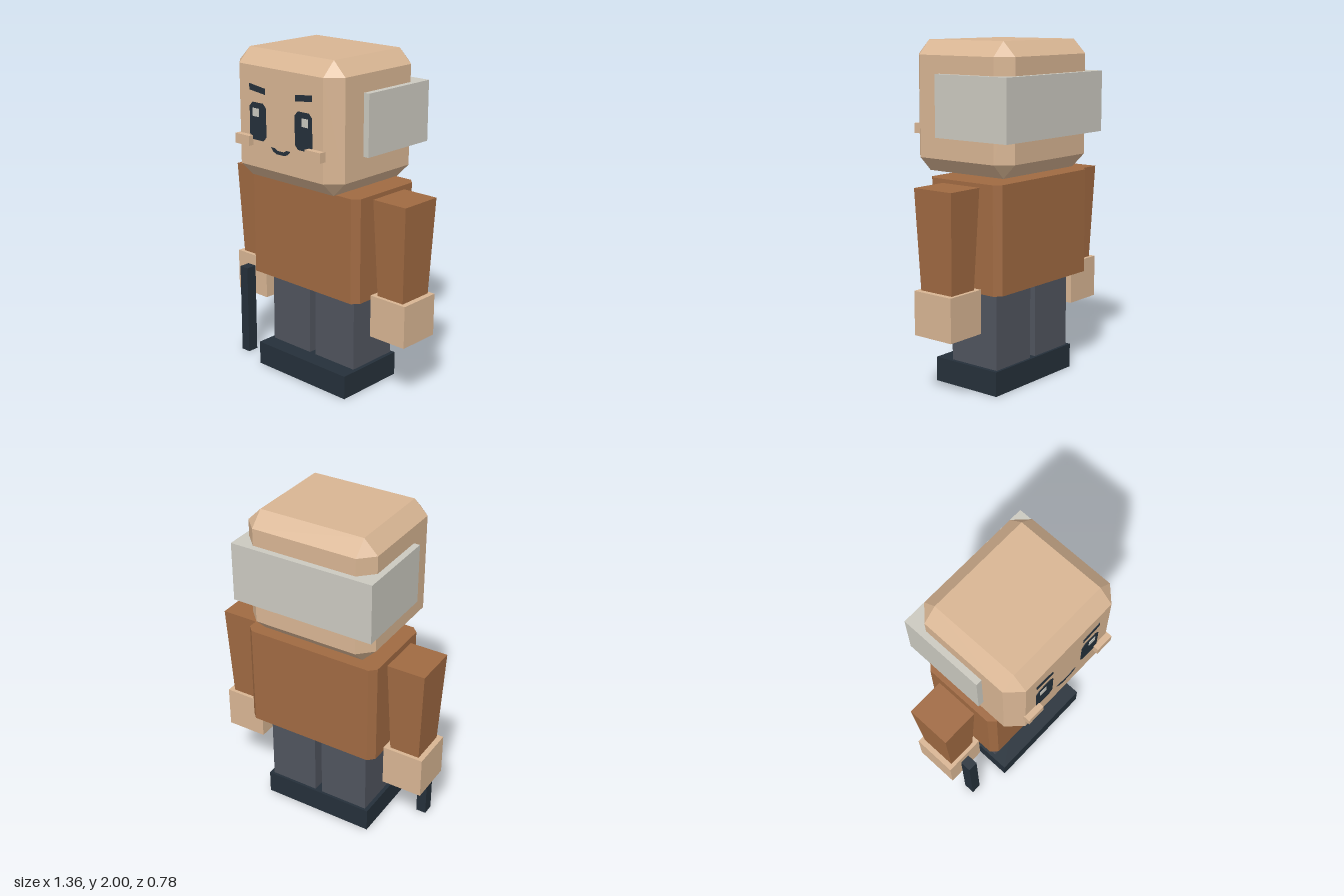
import * as THREE from 'three';
import { ConvexGeometry } from 'three/addons/geometries/ConvexGeometry.js';

const makeMaterial = (name, color) => {
  const m = new THREE.MeshStandardMaterial({ color });
  m.name = name;
  return m;
};

export function createModel() {
  const model = new THREE.Group();
  model.name = 'blockFigure';

  const skin = makeMaterial('skin', 0xd8b593);
  const brown = makeMaterial('brown cloth', 0xa06a42);
  const slate = makeMaterial('slate trousers', 0x50545e);
  const dark = makeMaterial('dark navy', 0x25303a);
  const grey = makeMaterial('grey hair', 0xcbc9c0);

  const add = (name, geometry, material) => {
    const mesh = new THREE.Mesh(geometry, material);
    mesh.name = name;
    model.add(mesh);
    return mesh;
  };

  // Box given by its limits on each axis
  const box = (name, material, [x0, x1], [y0, y1], [z0, z1]) => {
    const g = new THREE.BoxGeometry(x1 - x0, y1 - y0, z1 - z0);
    g.translate((x0 + x1) / 2, (y0 + y1) / 2, (z0 + z1) / 2);
    return add(name, g, material);
  };

  // Box with every edge cut off at 45 degrees
  const chamferedBox = (w, h, d, c) => {
    const points = [];
    for (const x of [-1, 1]) for (const y of [-1, 1]) for (const z of [-1, 1]) {
      for (const [a, b, e] of [[0, c, c], [c, 0, c], [c, c, 0]]) {
        points.push(new THREE.Vector3(x * (w / 2 - a), y * (h / 2 - b), z * (d / 2 - e)));
      }
    }
    return new ConvexGeometry(points);
  };

  // Thin plate on the face, outlined by points on the +x side
  const FACE_Z = 0.355;
  const plate = (name, material, points, side = 1, z = FACE_Z) => {
    const shape = new THREE.Shape(points.map(([x, y]) => new THREE.Vector2(x * side, y)));
    const g = new THREE.ExtrudeGeometry(shape, { depth: 0.004, bevelEnabled: false });
    g.translate(0, 0, z - 0.001);
    return add(name, g, material);
  };

  // Head and the hair band around its back
  add('head', chamferedBox(0.81, 0.748, 0.71, 0.083).translate(0, 1.626, 0), skin);
  box('hair', grey, [-0.442, 0.442], [1.46, 1.815], [-0.392, 0.123]);

  // Torso: an upright prism with cut corners
  const tx = 0.425, zf = 0.2, zb = -0.32, c = 0.038;
  const torso = new THREE.Shape([
    [tx, -zf + c], [tx, -zb - c], [tx - c, -zb], [-tx + c, -zb],
    [-tx, -zb - c], [-tx, -zf + c], [-tx + c, -zf], [tx - c, -zf],
  ].map(([x, y]) => new THREE.Vector2(x, y)));
  const torsoGeometry = new THREE.ExtrudeGeometry(torso, { depth: 0.622, bevelEnabled: false });
  torsoGeometry.rotateX(-Math.PI / 2).translate(0, 0.608, 0);
  add('torso', torsoGeometry, brown);

  for (const s of [1, -1]) {
    const prefix = s > 0 ? 'left' : 'right';
    const span = (a, b) => (s > 0 ? [a, b] : [-b, -a]);

    // Sleeve narrowing towards the hand
    const corners = [];
    for (const [y, x0, x1, z0, z1] of [
      [1.21, 0.438, 0.669, -0.198, 0.073],
      [0.62, 0.462, 0.645, -0.175, 0.05],
    ]) {
      for (const x of [x0, x1]) for (const z of [z0, z1]) corners.push(new THREE.Vector3(s * x, y, z));
    }
    add(prefix + 'Sleeve', new ConvexGeometry(corners), brown);

    box(prefix + 'Hand', skin, span(0.428, 0.678), [0.38, 0.635], [-0.197, 0.073]);
    box(prefix + 'Leg', slate, span(0.023, 0.33), [0.14, 0.62], [-0.23, 0.105]);
    box(prefix + 'Cheek', skin, span(0.219, 0.331), [1.46, 1.518], [0.33, 0.39]);

    // Eye with cut corners, highlight and slanted brow
    const e0 = 0.113, e1 = 0.242, b = 1.495, t = 1.71, k = 0.024;
    plate(prefix + 'Eye', dark, [
      [e0 + k, b], [e1 - k, b], [e1, b + k], [e1, t - k],
      [e1 - k, t], [e0 + k, t], [e0, t - k], [e0, b + k],
    ], s);
    plate(prefix + 'EyeHighlight', grey,
      [[0.168, 1.63], [0.215, 1.63], [0.215, 1.677], [0.168, 1.677]], s, FACE_Z + 0.003);
    plate(prefix + 'Brow', dark,
      [[0.117, 1.763], [0.241, 1.777], [0.243, 1.813], [0.119, 1.797]], s);
  }

  // Smile
  plate('mouth', dark, [
    [-0.075, 1.472], [-0.055, 1.45], [-0.03, 1.44], [0.03, 1.44], [0.055, 1.45], [0.075, 1.472],
    [0.045, 1.472], [0.025, 1.46], [-0.025, 1.46], [-0.045, 1.472],
  ]);

  // Shoes as one block, and the walking stick before the right hand
  box('shoes', dark, [-0.354, 0.354], [0, 0.145], [-0.246, 0.21]);
  box('walkingStick', dark, [-0.589, -0.526], [0, 0.568], [0.074, 0.144]);

  return model;
}
